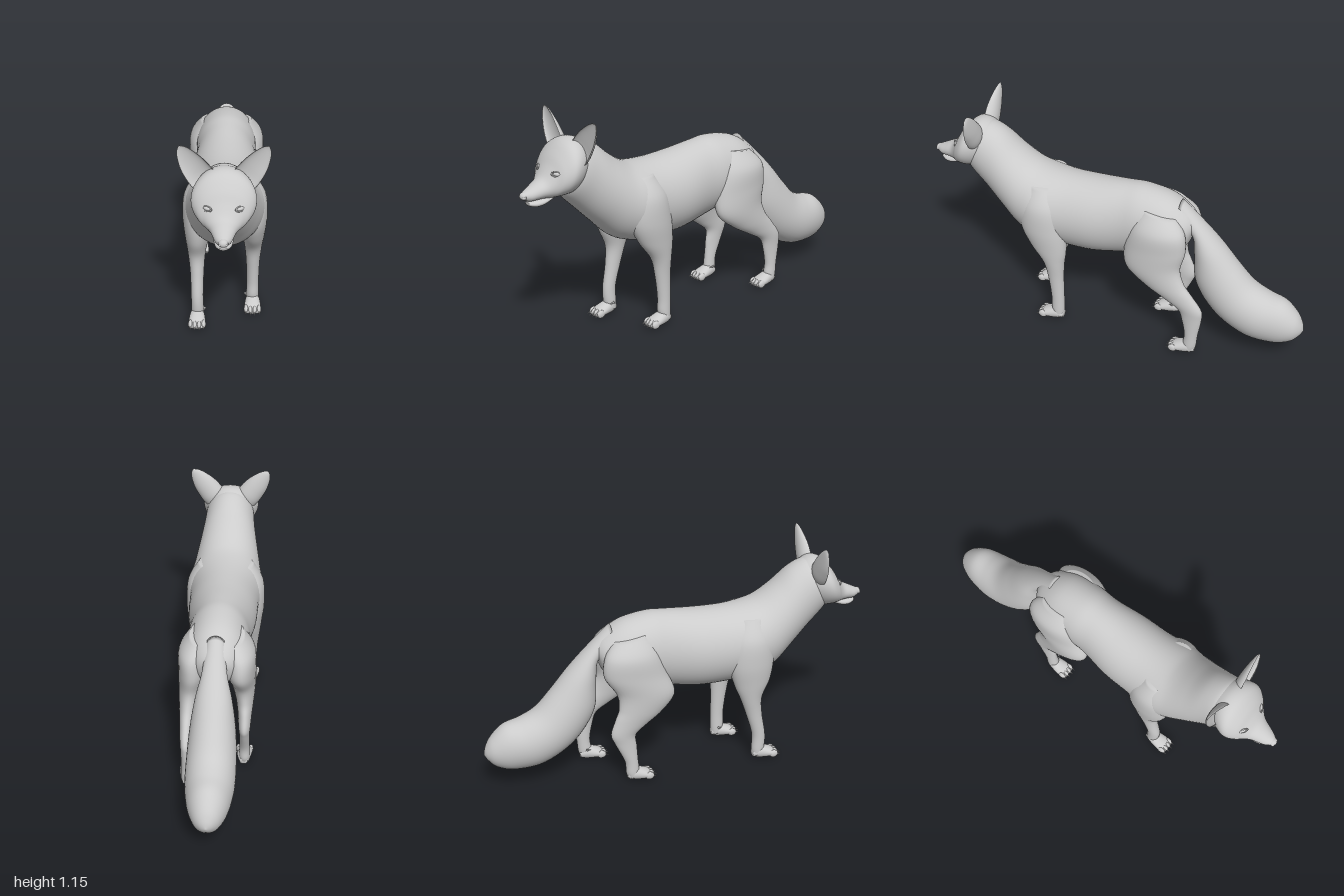
import * as THREE from 'three';

const material = new THREE.MeshStandardMaterial({ color: 0xcccccc });

// Catmull-Rom blend of four numbers
const blend = (a, b, c, d, t) =>
  b + 0.5 * t * (c - a + t * (2 * a - 5 * b + 4 * c - d + t * (3 * (b - c) + d - a)));

// Each row: [x, halfWidth, zA, yA, zB, yB]; A and B are opposite points of an oval section
function ovalPoint([x, w, zA, yA, zB, yB], a) {
  const c = Math.cos(a), s = Math.sin(a);
  return [x + w * c, (yA + yB) / 2 + s * (yA - yB) / 2, (zA + zB) / 2 + s * (zA - zB) / 2];
}

// Smooth closed skin through a list of section rows
function loft(rows, point = ovalPoint, sides = 32, steps = 6) {
  const n = rows.length - 1, rings = n * steps, pos = [], idx = [];
  for (let i = 0; i <= rings; i++) {
    const k = Math.min(Math.floor(i / steps), n - 1), t = i / steps - k;
    const [p, q, r, s] = [-1, 0, 1, 2].map(o => rows[THREE.MathUtils.clamp(k + o, 0, n)]);
    const row = q.map((v, j) => blend(p[j], v, r[j], s[j], t));
    for (let j = 0; j < sides; j++) pos.push(...point(row, (j / sides) * Math.PI * 2));
  }
  for (let i = 0; i < rings; i++) for (let j = 0; j < sides; j++) {
    const a = i * sides + j, b = i * sides + (j + 1) % sides;
    idx.push(a, b, a + sides, b, b + sides, a + sides);
  }
  // end caps
  for (const ring of [0, rings]) {
    const mid = [0, 0, 0], base = ring * sides, centre = pos.length / 3;
    for (let j = 0; j < sides; j++) for (let c = 0; c < 3; c++) mid[c] += pos[(base + j) * 3 + c] / sides;
    pos.push(...mid);
    for (let j = 0; j < sides; j++) {
      const a = base + j, b = base + (j + 1) % sides;
      idx.push(...(ring ? [centre, a, b] : [centre, b, a]));
    }
  }
  // turn the skin outwards if its signed volume is negative
  const P = i => new THREE.Vector3().fromArray(pos, i * 3);
  let volume = 0;
  for (let i = 0; i < idx.length; i += 3) volume += P(idx[i]).dot(P(idx[i + 1]).cross(P(idx[i + 2])));
  if (volume < 0) idx.reverse();
  const g = new THREE.BufferGeometry();
  g.setAttribute('position', new THREE.Float32BufferAttribute(pos, 3));
  g.setIndex(idx);
  g.computeVertexNormals();
  return g;
}

function add(parent, name, geometry, position = [0, 0, 0], scale = [1, 1, 1], rotation = [0, 0, 0]) {
  const m = new THREE.Mesh(geometry, material);
  m.name = name;
  m.position.set(...position);
  m.scale.set(...scale);
  m.rotation.set(...rotation);
  parent.add(m);
  return m;
}

const ball = new THREE.SphereGeometry(1, 20, 14);
const claw = new THREE.ConeGeometry(0.006, 0.026, 8);

const bodyRows = [
  [0, 0.04, -0.43, 0.725, -0.41, 0.66], [0, 0.1, -0.38, 0.78, -0.38, 0.58],
  [0, 0.14, -0.28, 0.84, -0.29, 0.52], [0, 0.15, -0.15, 0.865, -0.17, 0.485],
  [0, 0.15, -0.05, 0.86, -0.05, 0.458], [0, 0.172, 0.1, 0.845, 0.1, 0.434],
  [0, 0.178, 0.25, 0.84, 0.25, 0.434], [0, 0.192, 0.37, 0.85, 0.39, 0.45],
  [0, 0.176, 0.44, 0.875, 0.5, 0.495], [0, 0.155, 0.52, 0.93, 0.6, 0.59],
  [0, 0.135, 0.6, 1.0, 0.69, 0.68], [0, 0.123, 0.67, 1.035, 0.77, 0.76],
  [0, 0.1, 0.71, 1.03, 0.8, 0.8],
];
const headRows = [
  [0, 0.105, 0.65, 1.02, 0.72, 0.8], [0, 0.137, 0.71, 1.047, 0.77, 0.785],
  [0, 0.145, 0.765, 1.036, 0.81, 0.785], [0, 0.12, 0.815, 0.985, 0.845, 0.785],
  [0, 0.087, 0.85, 0.93, 0.87, 0.785], [0, 0.063, 0.885, 0.885, 0.895, 0.788],
  [0, 0.049, 0.925, 0.863, 0.925, 0.788], [0, 0.037, 0.96, 0.846, 0.955, 0.788],
  [0, 0.022, 0.985, 0.834, 0.978, 0.797],
];
const jawRows = [
  [0, 0.045, 0.85, 0.81, 0.84, 0.778], [0, 0.044, 0.89, 0.797, 0.89, 0.759],
  [0, 0.036, 0.935, 0.79, 0.93, 0.755], [0, 0.018, 0.965, 0.785, 0.96, 0.766],
];
const tailRows = [
  [0, 0.05, -0.34, 0.83, -0.33, 0.7], [0, 0.06, -0.46, 0.715, -0.405, 0.65],
  [0, 0.088, -0.56, 0.61, -0.42, 0.54], [0, 0.11, -0.65, 0.505, -0.435, 0.38],
  [0, 0.12, -0.73, 0.42, -0.54, 0.225], [0, 0.119, -0.81, 0.38, -0.7, 0.125],
  [0, 0.1, -0.895, 0.357, -0.85, 0.108], [0, 0.068, -0.96, 0.3, -0.94, 0.135],
  [0, 0.034, -0.99, 0.25, -0.982, 0.175], [0, 0.003, -1, 0.215, -1, 0.205],
];
const frontLegRows = [
  [0.09, 0.05, 0.43, 0.8, 0.31, 0.8], [0.115, 0.08, 0.47, 0.7, 0.25, 0.7],
  [0.128, 0.076, 0.47, 0.58, 0.23, 0.57], [0.135, 0.058, 0.42, 0.47, 0.225, 0.45],
  [0.138, 0.043, 0.35, 0.37, 0.235, 0.365], [0.137, 0.034, 0.325, 0.27, 0.24, 0.27],
  [0.137, 0.03, 0.31, 0.15, 0.24, 0.15], [0.136, 0.031, 0.31, 0.08, 0.24, 0.06],
  [0.136, 0.03, 0.3, 0.04, 0.245, 0.02],
];
const hindLegRows = [
  [0.08, 0.05, -0.17, 0.8, -0.34, 0.77], [0.11, 0.074, -0.12, 0.7, -0.395, 0.7],
  [0.116, 0.074, -0.09, 0.58, -0.405, 0.6], [0.128, 0.062, -0.1, 0.47, -0.385, 0.5],
  [0.137, 0.047, -0.2, 0.385, -0.41, 0.42], [0.14, 0.036, -0.31, 0.32, -0.455, 0.36],
  [0.14, 0.03, -0.385, 0.27, -0.508, 0.285], [0.14, 0.026, -0.41, 0.2, -0.512, 0.23],
  [0.14, 0.026, -0.425, 0.12, -0.495, 0.12], [0.14, 0.028, -0.42, 0.07, -0.488, 0.05],
  [0.14, 0.027, -0.42, 0.03, -0.475, 0.02],
];
const pawRows = [
  [0, 0.02, 0.242, 0.05, 0.245, 0.015], [0, 0.033, 0.28, 0.075, 0.275, 0.005],
  [0, 0.041, 0.325, 0.062, 0.325, 0.004], [0, 0.04, 0.36, 0.045, 0.36, 0.007],
  [0, 0.03, 0.378, 0.03, 0.378, 0.014],
];
// Ear rows: [x, y, halfWidth, edgeZ, depth]
const earRows = [
  [0.075, 0.968, 0.06, 0.735, 0.045], [0.097, 1.0, 0.064, 0.735, 0.05],
  [0.125, 1.04, 0.061, 0.733, 0.045], [0.15, 1.075, 0.053, 0.728, 0.035],
  [0.175, 1.112, 0.037, 0.722, 0.022], [0.19, 1.135, 0.021, 0.718, 0.012],
  [0.198, 1.148, 0.003, 0.716, 0.003],
];
// Crescent section, hollow towards the front
function earPoint([x, y, w, z, depth], a) {
  const c = Math.cos(a) * w, s = Math.sin(a);
  return [x + 0.8 * c, y - 0.6 * c, z - depth * (s < 0 ? -s : 0.6 * s)];
}

// One leg with paw, toes and claws; stride pushes the lower leg forward
function leg(name, rows, side, stride, pawZ) {
  const g = new THREE.Group();
  g.name = name;
  const step = y => stride * THREE.MathUtils.clamp((0.6 - y) / 0.45, 0, 1);
  add(g, 'limb', loft(rows.map(([x, w, zA, yA, zB, yB]) =>
    [side * x, w, zA + step(yA), yA, zB + step(yB), yB])));
  const paw = new THREE.Group();
  paw.name = 'paw';
  paw.position.set(side * 0.137, 0, pawZ + stride);
  add(paw, 'pad', loft(pawRows, ovalPoint, 24));
  for (const t of [-1.5, -0.5, 0.5, 1.5]) {
    const z = 0.362 - 0.006 * Math.abs(t);
    add(paw, 'toe', ball, [t * 0.021, 0.026, z], [0.0125, 0.021, 0.024]);
    add(paw, 'claw', claw, [t * 0.022, 0.022, z + 0.026], [1, 1, 1], [1.9, 0, 0]);
  }
  add(paw, 'dewclaw', claw, [-side * 0.033, 0.066, 0.285], [1, 1, 1], [1.9, 0, -side * 0.4]);
  g.add(paw);
  return g;
}

export function createModel() {
  const fox = new THREE.Group();
  fox.name = 'fox';
  add(fox, 'body', loft(bodyRows, ovalPoint, 48));
  add(fox, 'tail', loft(tailRows, ovalPoint, 40));

  const head = new THREE.Group();
  head.name = 'head';
  fox.add(head);
  const skull = add(head, 'skull', loft(headRows, ovalPoint, 48));
  add(head, 'lowerJaw', loft(jawRows));
  add(head, 'nose', ball, [0, 0.818, 0.98], [0.022, 0.019, 0.02]);

  const ray = new THREE.Raycaster();
  const lid = new THREE.TorusGeometry(0.021, 0.004, 10, 28);
  for (const side of [1, -1]) {
    const label = side > 0 ? 'left' : 'right';
    add(head, label + 'Nostril', ball, [side * 0.012, 0.814, 0.988], [0.009, 0.008, 0.009]);
    add(head, label + 'Ear', loft(earRows.map(r => [...r]), (r, a) => {
      const [x, y, z] = earPoint(r, a);
      return [side * x, y, z];
    }));
    // eyes sit on the skull surface
    ray.set(new THREE.Vector3(side * 0.073, 0.91, 2), new THREE.Vector3(0, 0, -1));
    const hit = ray.intersectObject(skull)[0];
    const z = hit ? hit.point.z : 0.84;
    add(head, label + 'Eye', ball, [side * 0.073, 0.91, z - 0.004], [0.02, 0.01, 0.011], [-0.3, side * 0.6, side * 0.15]);
    add(head, label + 'Eyelid', lid, [side * 0.073, 0.91, z], [1.1, 0.55, 1], [-0.4, side * 0.6, side * 0.15]);
  }

  fox.add(leg('leftFrontLeg', frontLegRows, 1, 0, 0));
  fox.add(leg('rightFrontLeg', frontLegRows, -1, 0.13, 0));
  fox.add(leg('leftHindLeg', hindLegRows, 1, 0, -0.725));
  fox.add(leg('rightHindLeg', hindLegRows, -1, 0.178, -0.725));
  return fox;
}
